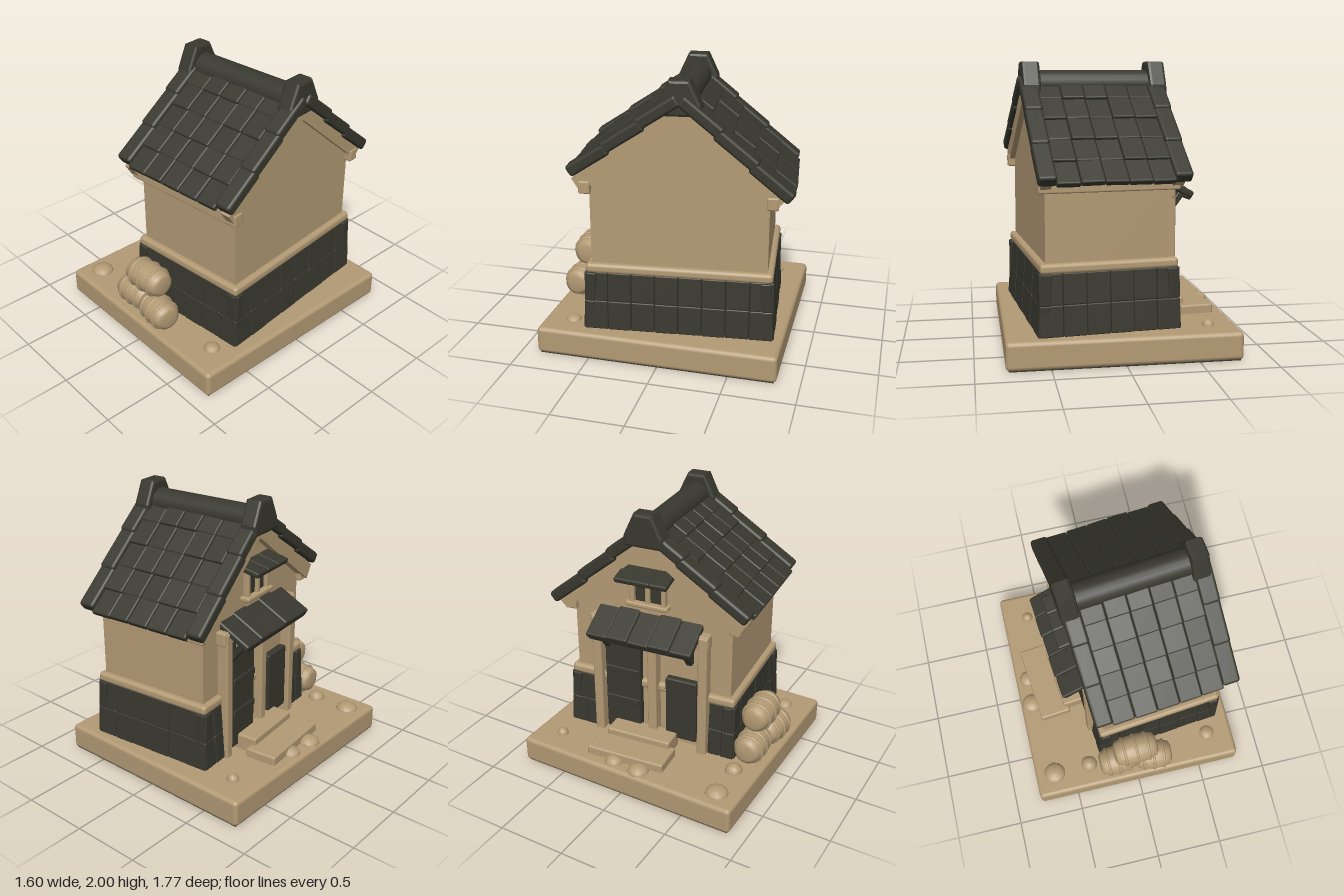
import * as THREE from 'three';
import { RoundedBoxGeometry } from 'three/addons/geometries/RoundedBoxGeometry.js';

export function createModel() {
  const tan = new THREE.MeshStandardMaterial({ color: 0xb39a74 });
  tan.name = 'sand';
  const dark = new THREE.MeshStandardMaterial({ color: 0x38382f });
  dark.name = 'charcoal';

  const model = new THREE.Group();
  model.name = 'storehouse';

  function group(parent, name) {
    const g = new THREE.Group();
    g.name = name;
    parent.add(g);
    return g;
  }
  function mesh(parent, name, geo, mat, x = 0, y = 0, z = 0) {
    const m = new THREE.Mesh(geo, mat);
    m.name = name;
    m.position.set(x, y, z);
    parent.add(m);
    return m;
  }
  // Softened box given by centre and size
  function box(parent, name, mat, x, y, z, w, h, d, r = 0.012) {
    const radius = Math.min(r, w * 0.45, h * 0.45, d * 0.45);
    return mesh(parent, name, new RoundedBoxGeometry(w, h, d, 2, radius), mat, x, y, z);
  }
  // Outline in (z, y) swept along x between x0 and x1
  function sweep(parent, name, mat, pts, x0, x1, bevel = 0) {
    const shape = new THREE.Shape(pts.map(p => new THREE.Vector2(p[0], p[1])));
    const geo = new THREE.ExtrudeGeometry(shape, {
      depth: x1 - x0 - 2 * bevel, bevelEnabled: bevel > 0,
      bevelSize: bevel, bevelThickness: bevel, bevelOffset: -bevel, bevelSegments: 2,
    });
    geo.rotateY(-Math.PI / 2);
    return mesh(parent, name, geo, mat, x1 - bevel, 0, 0);
  }
  // Square bar between two points
  function beam(parent, name, mat, a, b, t) {
    const from = new THREE.Vector3(...a), to = new THREE.Vector3(...b);
    const mid = from.clone().add(to).multiplyScalar(0.5);
    const m = box(parent, name, mat, mid.x, mid.y, mid.z, t, from.distanceTo(to), t);
    m.quaternion.setFromUnitVectors(new THREE.Vector3(0, 1, 0), to.sub(from).normalize());
    return m;
  }

  // Ground slab with a dark underside
  box(model, 'groundSlab', tan, 0, 0.103, 0.02, 1.6, 0.194, 1.72, 0.03);
  mesh(model, 'underside', new THREE.BoxGeometry(1.56, 0.009, 1.68), dark, 0, 0.0045, 0.02);

  const house = group(model, 'house');
  house.position.set(0.14, 0, -0.075);
  house.rotation.y = 0.1;

  // Plastered body with gables
  sweep(house, 'walls', tan,
    [[-0.6, 0.19], [0.62, 0.19], [0.62, 1.36], [0, 1.81], [-0.6, 1.28]], -0.42, 0.45);
  box(house, 'sillMoulding', tan, 0.015, 0.655, 0.01, 0.95, 0.07, 1.3, 0.025);
  box(house, 'frontEaveBeam', tan, 0.02, 1.25, 0.645, 0.96, 0.09, 0.08);
  box(house, 'rearEaveBeam', tan, 0.02, 1.2, -0.62, 0.96, 0.09, 0.08);

  // Barge boards under both roof ends
  const chevron = [[0, 1.85], [-0.70, 1.225], [-0.64, 1.165], [0, 1.72], [0.67, 1.215], [0.73, 1.31]];
  for (const [x0, x1] of [[0.42, 0.49], [-0.48, -0.40]]) {
    sweep(house, 'bargeBoard', tan, chevron, x0, x1);
  }

  // Flared two-row tile skirting; each run is given in its wall's own frame
  function skirting(name, x, z, turn, from, to, cols) {
    const g = group(house, name);
    g.position.set(x, 0.2, z);
    g.rotation.set(-0.07, turn, 0, 'YXZ');
    const w = (to - from) / cols;
    for (let c = 0; c < cols; c++) {
      for (let r = 0; r < 2; r++) {
        box(g, 'skirtTile', dark, from + (c + 0.5) * w, 0.105 + r * 0.212, 0.024 + (c % 2) * 0.003,
          w - 0.002, 0.212, 0.07, 0.008);
      }
    }
  }
  skirting('frontSkirting', 0.015, 0.62, 0, -0.485, 0.485, 6);
  skirting('rearSkirting', 0.015, -0.6, Math.PI, -0.485, 0.485, 6);
  skirting('leftSkirting', 0.45, 0.01, Math.PI / 2, -0.66, 0.66, 8);
  skirting('rightRearSkirting', -0.42, 0.01, -Math.PI / 2, -0.66, -0.42, 2);
  skirting('rightFrontSkirting', -0.42, 0.01, -Math.PI / 2, 0.46, 0.66, 2);

  // Roof slopes: local z runs down the slope, y is outward
  function slope(name, turn, pitch, length) {
    const g = group(house, name);
    g.position.set(0, 1.84, 0);
    g.rotation.set(pitch, turn, 0, 'YXZ');
    box(g, 'roofDeck', dark, 0, 0.012, length / 2, 0.92, 0.024, length, 0.008);
    const rows = 5, cols = 5, step = (length + 0.02) / rows;
    for (let r = 0; r < rows; r++) {
      for (let c = 0; c < cols; c++) {
        const t = box(g, 'roofTile', dark, -0.32 + c * 0.16, 0.036 + ((c * 3 + r * 2) % 4) * 0.003,
          (r + 0.5) * step, 0.158, 0.045, step + 0.035, 0.012);
        t.rotation.x = -0.07;
        t.rotation.z = ((c + r) % 3 - 1) * 0.02;
      }
    }
    // Thicker tiles along each roof end
    for (const x of [-0.455, 0.455]) {
      for (let r = 0; r < 3; r++) {
        const t = box(g, 'vergeTile', dark, x, 0.04, (r + 0.5) * length / 3,
          0.125, 0.085, length / 3 + 0.03, 0.022);
        t.rotation.x = -0.05;
      }
    }
  }
  slope('frontRoof', 0, Math.atan(0.724), 0.875);
  slope('rearRoof', Math.PI, Math.atan(0.9), 0.94);

  // Ridge roll with end caps
  const roll = new THREE.CylinderGeometry(0.1, 0.1, 0.86, 20);
  roll.rotateZ(Math.PI / 2);
  mesh(house, 'ridgeRoll', roll, dark, 0, 1.84, 0);
  const cap = [[-0.15, 1.76], [0.15, 1.76], [0.145, 1.84], [0.07, 2.0], [-0.07, 2.0], [-0.145, 1.84]];
  sweep(house, 'ridgeCap', dark, cap, -0.53, -0.405, 0.02);
  sweep(house, 'ridgeCap', dark, cap, 0.375, 0.5, 0.02);

  // Entrance wall: posts, lintel, doors
  const entrance = group(house, 'entrance');
  for (const z of [-0.4, 0.04, 0.43]) {
    box(entrance, 'post', tan, -0.46, 0.67, z, 0.09, 0.98, 0.07);
  }
  box(entrance, 'lintel', tan, -0.455, 1.12, 0.01, 0.08, 0.1, 0.92);
  box(entrance, 'door', dark, -0.455, 0.6, -0.2, 0.06, 0.74, 0.28);
  box(entrance, 'sidePanel', dark, -0.455, 0.52, 0.26, 0.06, 0.5, 0.24);
  for (const y of [0.5, 0.75]) {
    box(entrance, 'doorBand', dark, -0.487, y, -0.2, 0.02, 0.05, 0.26, 0.006);
  }

  // Tiled awning on angled brackets
  const awning = group(house, 'doorAwning');
  awning.position.set(-0.40, 1.2, 0);
  awning.rotation.z = 0.5;
  for (let i = 0; i < 5; i++) {
    box(awning, 'awningTile', dark, -0.13, 0.005 + (i % 2) * 0.012, -0.32 + i * 0.16, 0.29, 0.05, 0.165, 0.015);
  }
  box(awning, 'awningEdge', dark, -0.25, -0.015, 0, 0.05, 0.04, 0.78);
  for (const z of [-0.32, 0.32]) {
    beam(entrance, 'bracket', dark, [-0.45, 0.92, z], [-0.60, 1.11, z], 0.05);
    beam(entrance, 'bracketPost', dark, [-0.46, 0.91, z], [-0.46, 1.18, z], 0.05);
  }

  // Gable window with its own small hood
  const gable = group(house, 'gableWindow');
  box(gable, 'windowPane', dark, -0.43, 1.41, 0, 0.04, 0.17, 0.2, 0.005);
  for (const z of [-0.12, 0, 0.12]) box(gable, 'windowBar', tan, -0.45, 1.41, z, 0.05, 0.22, 0.035);
  box(gable, 'windowSill', tan, -0.455, 1.31, 0, 0.08, 0.035, 0.32);
  for (const z of [-0.13, 0, 0.13]) {
    const hood = box(gable, 'windowHoodTile', dark, -0.5, 1.54, z, 0.18, 0.04, 0.135);
    hood.rotation.z = 0.22;
  }

  // Entrance steps
  const lower = box(model, 'lowerStep', tan, -0.57, 0.225, -0.035, 0.24, 0.08, 0.6, 0.015);
  const upper = box(model, 'upperStep', tan, -0.4, 0.25, -0.04, 0.18, 0.13, 0.5, 0.015);
  lower.rotation.y = upper.rotation.y = 0.1;

  // Straw bales with rope hoops, lying along x
  function bale(x, y, z, length, turn) {
    const g = group(model, 'strawBale');
    g.position.set(x, y, z);
    g.rotation.y = turn;
    const h = length / 2;
    const profile = [[0, -h], [0.06, -h], [0.088, -h * 0.9], [0.106, -h * 0.55], [0.111, 0],
      [0.106, h * 0.55], [0.088, h * 0.9], [0.06, h], [0, h]].map(p => new THREE.Vector2(...p));
    const body = new THREE.LatheGeometry(profile, 20);
    body.rotateZ(Math.PI / 2);
    mesh(g, 'baleBody', body, tan);
    for (const s of [-0.55, 0, 0.55]) {
      const hoop = new THREE.TorusGeometry(s ? 0.104 : 0.109, 0.011, 8, 20);
      hoop.rotateY(Math.PI / 2);
      mesh(g, 'ropeHoop', hoop, tan, s * h, 0, 0);
    }
  }
  bale(-0.15, 0.308, 0.74, 0.28, 0.05);
  bale(0.13, 0.308, 0.765, 0.28, -0.1);
  bale(-0.01, 0.512, 0.735, 0.33, 0.04);

  // Half-buried stones: x, z, radius, height
  const stones = [[-0.7, -0.1, 0.07, 0.05], [-0.71, 0.11, 0.08, 0.05], [-0.6, -0.63, 0.045, 0.05],
    [-0.65, 0.71, 0.085, 0.05], [-0.37, 0.7, 0.065, 0.06], [0.6, 0.67, 0.06, 0.04]];
  for (const [x, z, r, h] of stones) {
    mesh(model, 'stone', new THREE.SphereGeometry(1, 12, 8), tan, x, 0.195, z).scale.set(r, h, r);
  }
  return model;
}
